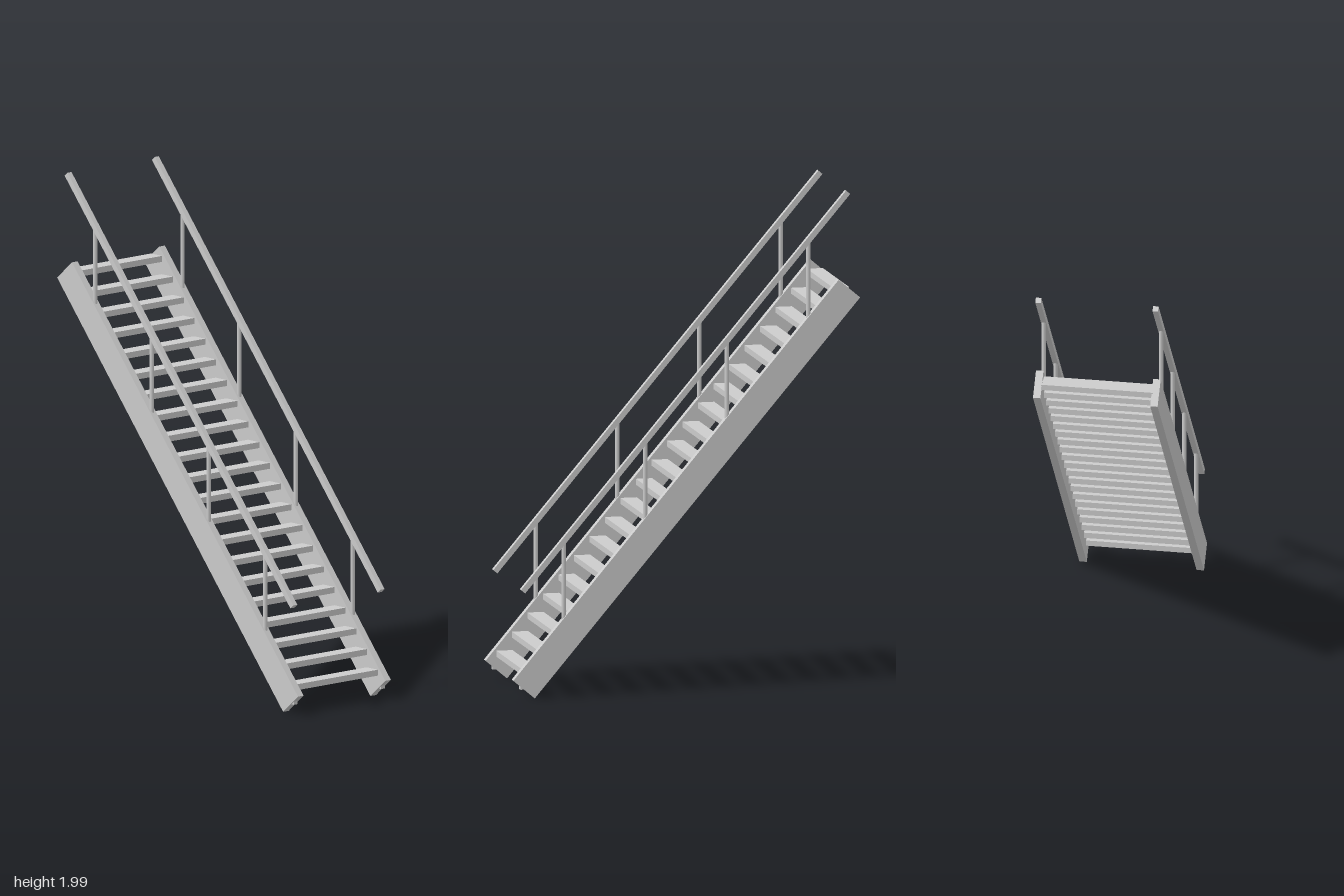
import * as THREE from 'three';

const STEPS = 21;

export function createModel() {
  const model = new THREE.Group();
  model.name = 'openStaircase';
  const mat = new THREE.MeshStandardMaterial({ color: 0xcccccc });

  const add = (name, geometry, x, y, z) => {
    const mesh = new THREE.Mesh(geometry, mat);
    mesh.name = name;
    mesh.position.set(x, y, z);
    model.add(mesh);
    return mesh;
  };

  // Straight beam of rectangular section between two [z, y] points
  const beam = (name, x, a, b, width, depth) => {
    const dz = b[0] - a[0], dy = b[1] - a[1];
    const geo = new THREE.BoxGeometry(width, depth, Math.hypot(dz, dy));
    const mesh = add(name, geo, x, (a[1] + b[1]) / 2, (a[0] + b[0]) / 2);
    mesh.rotation.x = Math.atan2(dy, -dz);
  };

  // Treads, evenly stepped up between the stringers
  const treadGeo = new THREE.BoxGeometry(0.446, 0.024, 0.066);
  for (let i = 0; i < STEPS; i++) {
    add('tread', treadGeo, 0, 0.104 + i * 0.0744, 0.632 - i * 0.0634);
  }

  const railY = (z) => 0.434 + (0.668 - z) * 1.17;
  const stringerTopY = (z) => 0.08 + (0.708 - z) * 1.173;
  const postZ = [0.5, 0.167, -0.167, -0.5];

  for (const side of [-1, 1]) {
    const x = side * 0.235;
    beam('stringer', x, [0.665, 0.04], [-0.664, 1.602], 0.03, 0.115);
    beam('handrail', x, [0.668, 0.434], [-0.66, 1.99], 0.022, 0.022);

    // Small foot tab at the lower end of the stringer
    add('footTab', new THREE.BoxGeometry(0.02, 0.014, 0.04), x, 0.046, 0.659);

    // Upright posts from stringer to handrail
    for (const z of postZ) {
      const bottom = stringerTopY(z) - 0.015, top = railY(z);
      add('railPost', new THREE.CylinderGeometry(0.009, 0.009, top - bottom, 12),
        x, (top + bottom) / 2, z);
    }
  }
  return model;
}
